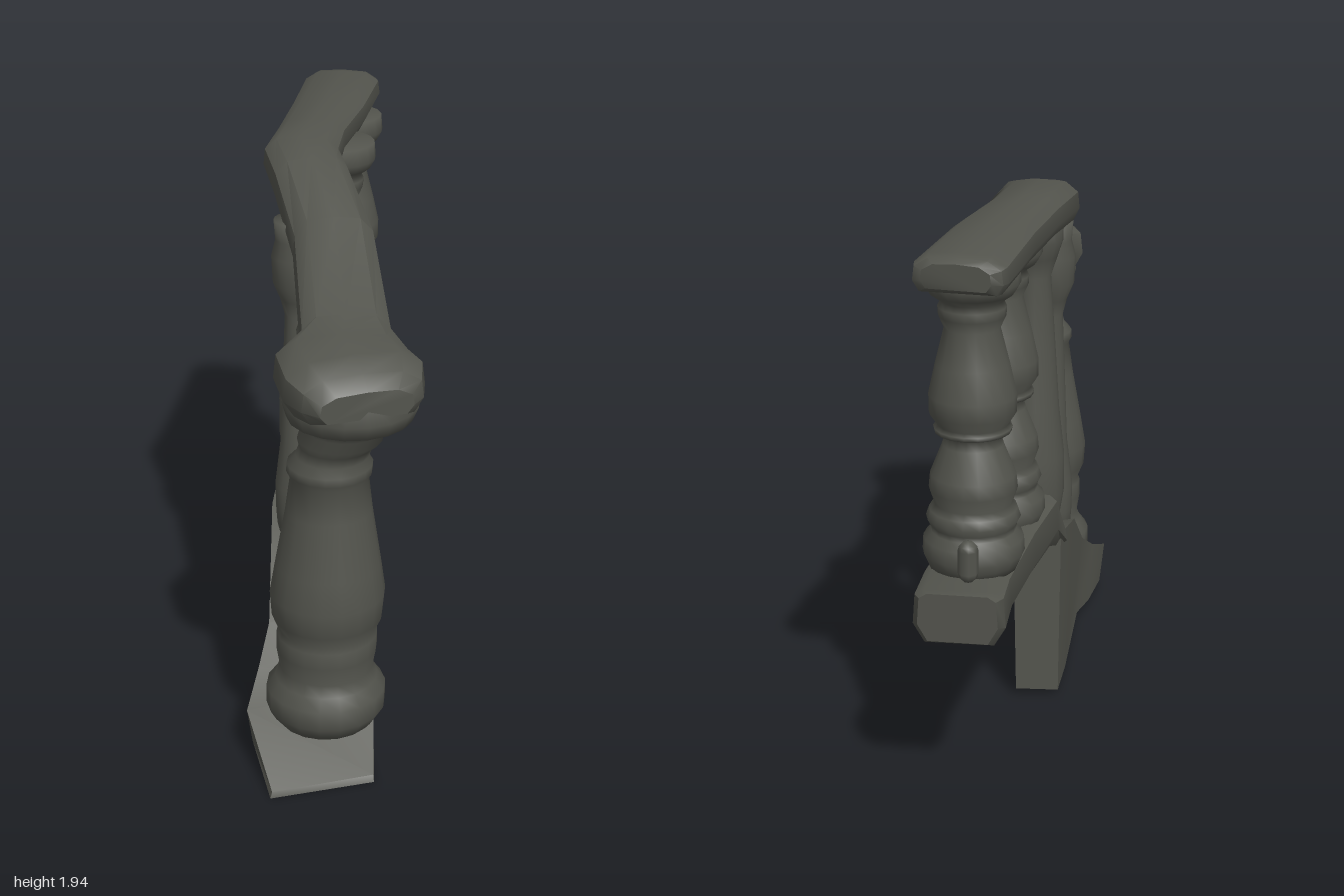
import * as THREE from 'three';
import { toCreasedNormals } from 'three/addons/utils/BufferGeometryUtils.js';

const stone = new THREE.MeshStandardMaterial({ color: 0x53544d });
stone.name = 'dark stone';

// Skin a row of equal-sized rings, cap both ends and keep hard edges
function loft(rings, crease = 0.7) {
  const tris = [];
  const n = rings[0].length;
  for (let s = 0; s < rings.length - 1; s++) {
    for (let i = 0; i < n; i++) {
      const j = (i + 1) % n;
      const [a, b, c, d] = [rings[s][i], rings[s][j], rings[s + 1][j], rings[s + 1][i]];
      tris.push([a, b, c], [a, c, d]);
    }
  }
  const last = rings[rings.length - 1];
  for (let i = 1; i < n - 1; i++) {
    tris.push([rings[0][0], rings[0][i + 1], rings[0][i]], [last[0], last[i], last[i + 1]]);
  }
  // Turn the faces outward if the rings were listed the other way round
  let volume = 0;
  for (const [a, b, c] of tris) {
    volume += new THREE.Vector3(...a).dot(new THREE.Vector3(...b).cross(new THREE.Vector3(...c)));
  }
  if (volume < 0) tris.forEach((t) => t.reverse());
  const g = new THREE.BufferGeometry();
  g.setAttribute('position', new THREE.Float32BufferAttribute(tris.flat(2), 3));
  return toCreasedNormals(g, crease);
}

// Sweep a cross-section [across, up 0..1] along stations [x, z, bottom, top, halfWidth]
function sweep(section, stations) {
  return loft(stations.map(([x, z, y0, y1, w], i) => {
    const p = stations[Math.max(i - 1, 0)];
    const q = stations[Math.min(i + 1, stations.length - 1)];
    const len = Math.hypot(q[0] - p[0], q[1] - p[1]);
    const ax = -(q[1] - p[1]) / len, az = (q[0] - p[0]) / len;
    return section.map(([u, v]) => [x + ax * u * w, y0 + (y1 - y0) * v, z + az * u * w]);
  }));
}

export function createModel() {
  const group = new THREE.Group();

  const add = (name, geometry, x = 0, z = 0) => {
    const mesh = new THREE.Mesh(geometry, stone);
    mesh.name = name;
    mesh.position.set(x, 0, z);
    group.add(mesh);
    return mesh;
  };

  // Turned post from [radius, height] pairs, closed at both ends
  const turned = (name, profile, x, z) => {
    const pts = [[0, profile[0][1]], ...profile, [0, profile[profile.length - 1][1]]];
    const g = new THREE.LatheGeometry(pts.map(([r, y]) => new THREE.Vector2(r, y)), 18);
    return add(name, g, x, z);
  };

  // Handrail: rounded top, flat underside, swollen lower end
  add('handrail', sweep(
    [[-0.85, 0], [-1, 0.3], [-0.96, 0.7], [-0.65, 0.95], [0, 1], [0.65, 0.95], [0.96, 0.7], [1, 0.3], [0.85, 0]],
    [
      [-0.78, 0.665, 1.385, 1.475, 0.155],
      [-0.755, 0.63, 1.37, 1.52, 0.2],
      [-0.70, 0.56, 1.365, 1.55, 0.235],
      [-0.63, 0.46, 1.37, 1.57, 0.22],
      [-0.52, 0.40, 1.41, 1.59, 0.15],
      [-0.24, 0.15, 1.60, 1.79, 0.14],
      [-0.05, -0.08, 1.74, 1.91, 0.135],
      [0.04, -0.19, 1.80, 1.94, 0.135],
      [0.25, -0.30, 1.81, 1.94, 0.125],
      [0.55, -0.44, 1.81, 1.94, 0.14],
      [0.90, -0.625, 1.81, 1.93, 0.15],
      [0.935, -0.645, 1.815, 1.925, 0.14],
      [0.955, -0.655, 1.83, 1.91, 0.11],
    ]));

  // Sloping stair base; each ring runs front bottom, front top, back top, back bottom
  add('stairBase', loft([
    [[-0.72, 0, 0.66], [-0.71, 0.02, 0.65], [-0.99, 0.02, 0.43], [-1, 0, 0.43]],
    [[-0.52, 0.01, 0.43], [-0.45, 0.18, 0.47], [-0.84, 0.18, 0.21], [-0.8, 0.03, 0.2]],
    [[-0.4, 0.02, 0.3], [-0.36, 0.28, 0.38], [-0.68, 0.25, 0.14], [-0.62, 0.03, 0.11]],
    [[-0.33, 0.03, 0.22], [-0.26, 0.36, 0.31], [-0.54, 0.34, 0.08], [-0.5, 0.03, 0.07]],
    [[0.07, 0.02, -0.13], [0.07, 0.63, -0.09], [-0.2, 0.6, -0.16], [-0.12, 0.02, -0.19]],
    [[0.15, 0.03, -0.18], [0.155, 0.65, -0.17], [0.03, 0.65, -0.29], [0.04, 0.02, -0.29]],
  ], 0.4));

  // Landing slab
  add('landingSlab', sweep(
    [[-0.75, 0], [-1, 0.35], [-0.95, 0.9], [-0.75, 1], [0.75, 1], [0.95, 0.9], [1, 0.35], [0.75, 0]],
    [
      [0.0, -0.17, 0.57, 0.64, 0.10],
      [0.17, -0.235, 0.645, 0.84, 0.13],
      [0.45, -0.35, 0.645, 0.84, 0.15],
      [0.75, -0.50, 0.64, 0.81, 0.15],
      [0.905, -0.61, 0.64, 0.825, 0.15],
      [0.935, -0.63, 0.66, 0.825, 0.13],
    ]));

  // Heavy newel post, its capital pushed forward under the rail end
  const newel = turned('newelPost', [
    [0.165, 0.14], [0.185, 0.165], [0.205, 0.2], [0.205, 0.27], [0.175, 0.31], [0.16, 0.35],
    [0.172, 0.42], [0.172, 0.48], [0.165, 0.5], [0.188, 0.55], [0.195, 0.64], [0.178, 0.75],
    [0.145, 0.95], [0.13, 1.07], [0.142, 1.09], [0.142, 1.12], [0.12, 1.15], [0.122, 1.19],
    [0.14, 1.22], [0.132, 1.26], [0.15, 1.29], [0.205, 1.31], [0.222, 1.36], [0.2, 1.43],
  ], -0.645, 0.4);
  const pos = newel.geometry.attributes.position;
  for (let i = 0; i < pos.count; i++) {
    const y = pos.getY(i);
    pos.setZ(i, pos.getZ(i) + 0.02 * y + 0.08 * THREE.MathUtils.smoothstep(y, 1.1, 1.34));
  }
  newel.geometry = toCreasedNormals(newel.geometry, 1.2);

  // Slender balusters on the slope
  turned('lowerStairBaluster', [
    [0.085, 0.31], [0.1, 0.38], [0.108, 0.48], [0.085, 0.65], [0.07, 0.9], [0.062, 1.25],
    [0.075, 1.3], [0.112, 1.37], [0.12, 1.44], [0.09, 1.52], [0.1, 1.58],
  ], -0.35, 0.22);
  turned('upperStairBaluster', [
    [0.08, 0.47], [0.09, 0.62], [0.092, 0.72], [0.07, 0.9], [0.058, 1.2], [0.05, 1.38],
    [0.065, 1.44], [0.09, 1.5], [0.095, 1.6], [0.08, 1.66], [0.085, 1.73],
  ], -0.185, -0.04);
  turned('cornerBaluster', [
    [0.085, 0.61], [0.1, 0.67], [0.12, 0.8], [0.12, 0.94], [0.1, 1.12], [0.085, 1.35],
    [0.068, 1.6], [0.09, 1.67], [0.11, 1.73], [0.11, 1.84],
  ], 0.055, -0.165);

  // Pair of full balusters on the landing
  for (const [x, z] of [[0.37, -0.285], [0.685, -0.47]]) {
    turned('landingBaluster', [
      [0.145, 0.805], [0.155, 0.83], [0.168, 0.86], [0.165, 0.91], [0.14, 0.935], [0.142, 0.955],
      [0.155, 0.98], [0.145, 1.01], [0.128, 1.03], [0.145, 1.08], [0.14, 1.13], [0.1, 1.23],
      [0.09, 1.265], [0.125, 1.275], [0.128, 1.29], [0.115, 1.3], [0.142, 1.34], [0.142, 1.4],
      [0.12, 1.5], [0.09, 1.62], [0.108, 1.66], [0.11, 1.69], [0.1, 1.71], [0.135, 1.735],
      [0.155, 1.77], [0.15, 1.83],
    ], x, z);
  }

  // Small broken fragment beside the last baluster
  const fragment = add('fragment', new THREE.CapsuleGeometry(0.033, 0.075, 3, 8), 0.89, -0.637);
  fragment.position.y = 0.93;

  return group;
}
